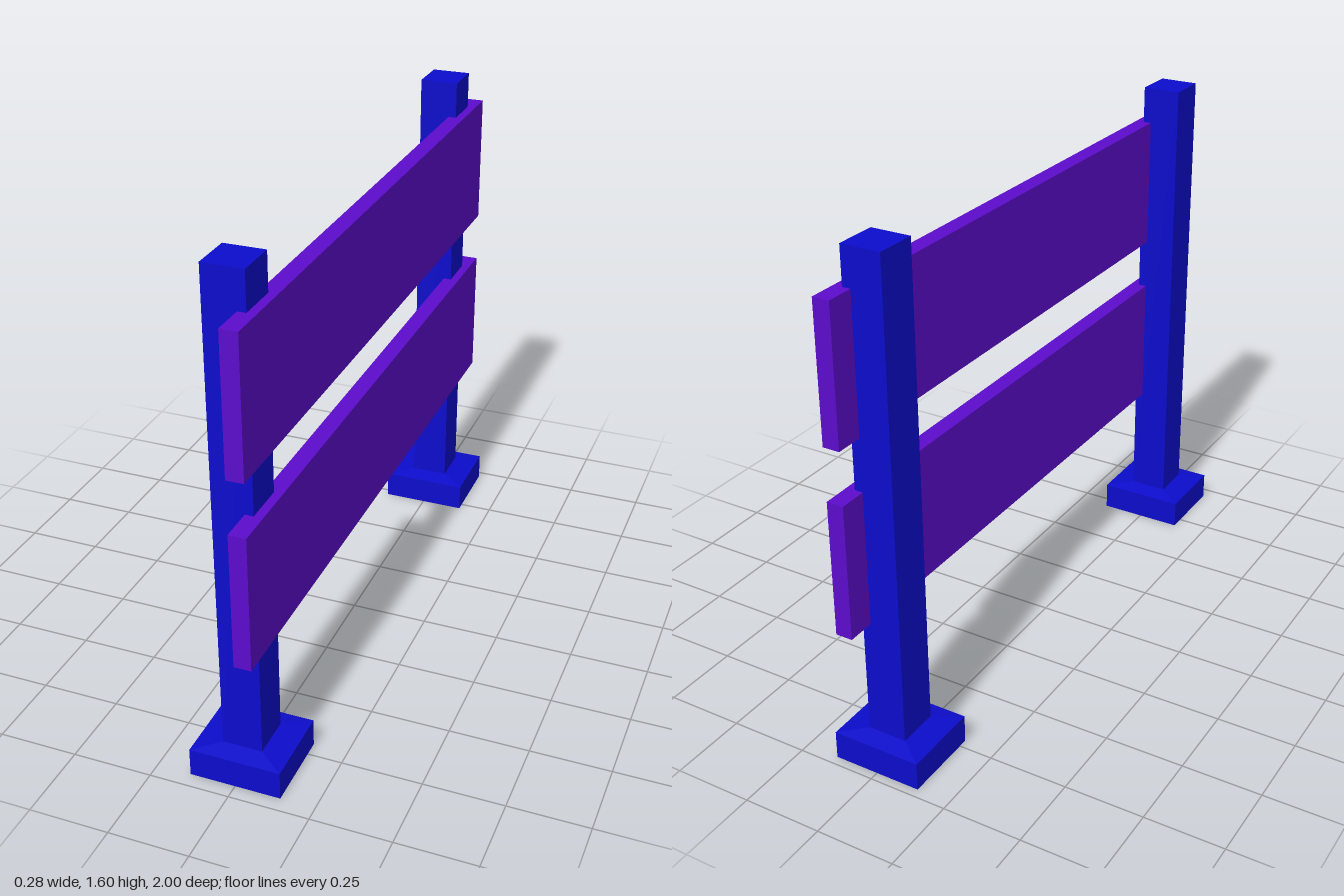
import * as THREE from 'three';

// Square cross-sections [halfX, halfZ, y] joined into one shell, open below, capped on top
function shell(rings) {
  const loops = rings.map(([x, z, y]) => [[-x, y, -z], [x, y, -z], [x, y, z], [-x, y, z]]);
  const pos = [];
  const quad = (a, b, c, d) => pos.push(...a, ...d, ...b, ...b, ...d, ...c);
  for (let i = 0; i < loops.length - 1; i++) {
    for (let k = 0; k < 4; k++) {
      const n = (k + 1) % 4;
      quad(loops[i][k], loops[i][n], loops[i + 1][n], loops[i + 1][k]);
    }
  }
  quad(...loops[loops.length - 1]);
  const geometry = new THREE.BufferGeometry();
  geometry.setAttribute('position', new THREE.Float32BufferAttribute(pos, 3));
  geometry.computeVertexNormals();
  return geometry;
}

export function createModel() {
  const blue = new THREE.MeshStandardMaterial({ name: 'postBlue', color: 0x0c0ccc, flatShading: true, side: THREE.DoubleSide });
  const purple = new THREE.MeshStandardMaterial({ name: 'plankPurple', color: 0x5c0ccc, flatShading: true });
  const group = new THREE.Group();
  group.name = 'barrier';

  // Posts with hollow feet whose tops slope up to the post
  const postGeometry = shell([
    [0.142, 0.125, 0],
    [0.142, 0.125, 0.09],
    [0.062, 0.066, 0.1],
    [0.062, 0.066, 1.6],
  ]);
  for (const [name, z] of [['frontPost', 0.828], ['backPost', -0.846]]) {
    const post = new THREE.Mesh(postGeometry, blue);
    post.name = name;
    post.position.z = z;
    group.add(post);
  }

  // Two planks let into the posts on one side
  const plankGeometry = new THREE.BoxGeometry(0.053, 0.424, 2);
  for (const [name, y] of [['lowerPlank', 0.683], ['upperPlank', 1.271]]) {
    const plank = new THREE.Mesh(plankGeometry, purple);
    plank.name = name;
    plank.position.set(0.0625, y, 0);
    group.add(plank);
  }
  return group;
}
